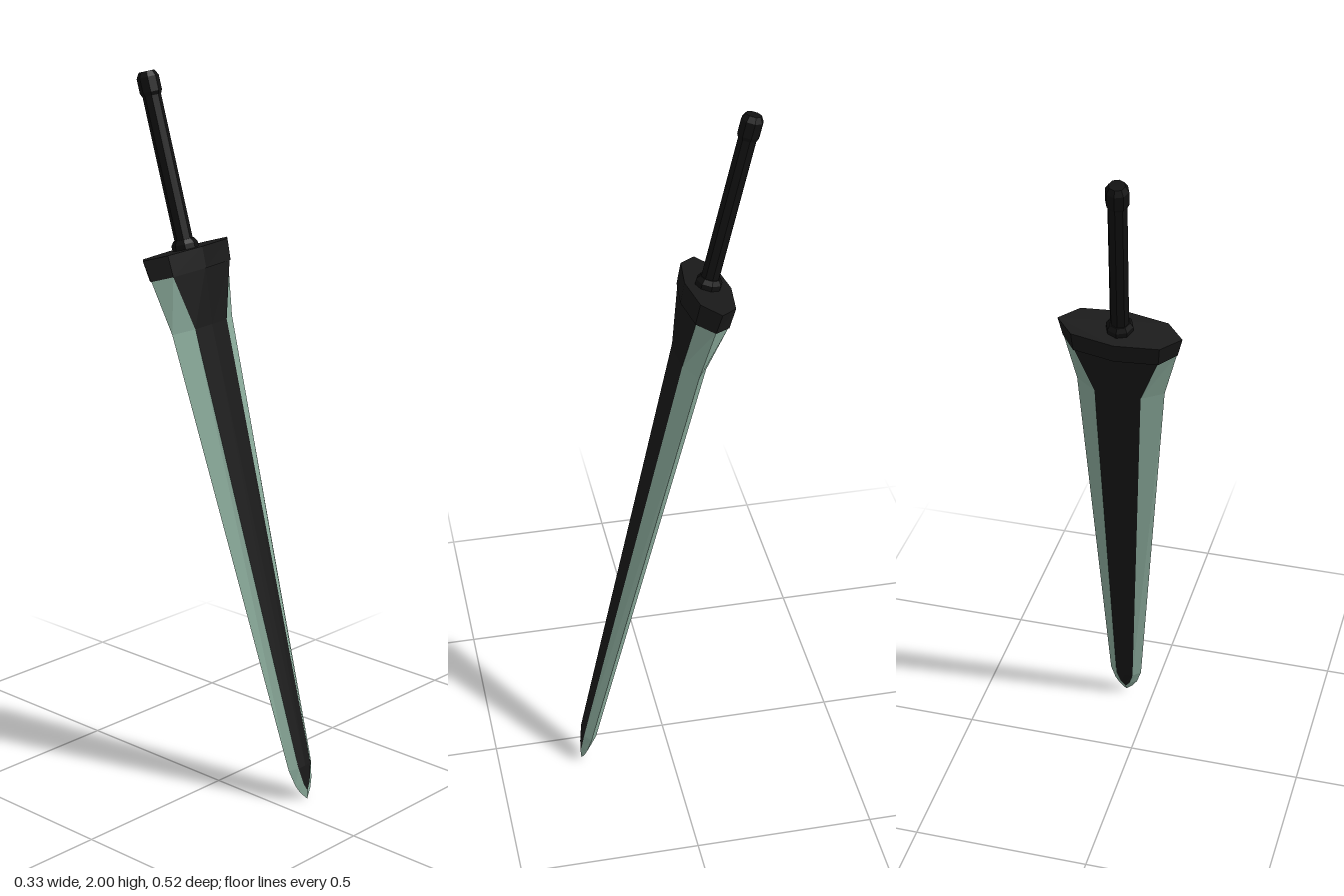
import * as THREE from 'three';

const steel = new THREE.MeshStandardMaterial({ color: 0x8fb0a0, flatShading: true });
const dark = new THREE.MeshStandardMaterial({ color: 0x191919, flatShading: true });
const leather = new THREE.MeshStandardMaterial({ color: 0x111111, flatShading: true });

// Eight-sided ring: edge half width w, panel half width s at depth h1, ridge depth h
const ring = ([t, w, s, h1, h]) => [
  [w, t, 0], [s, t, h1], [0, t, h], [-s, t, h1],
  [-w, t, 0], [-s, t, -h1], [0, t, -h], [s, t, -h1],
];

// Skins the chosen sides between consecutive sections, with optional end caps
function skin(name, sections, sides, material, caps = false) {
  const rings = sections.map(ring);
  const pos = [];
  for (let j = 0; j < rings.length - 1; j++) {
    for (const i of sides) {
      const k = (i + 1) % 8;
      const a = rings[j][i], b = rings[j][k], c = rings[j + 1][i], d = rings[j + 1][k];
      pos.push(...a, ...c, ...b, ...b, ...c, ...d);
    }
  }
  if (caps) {
    const bottom = rings[0], top = rings[rings.length - 1];
    for (let i = 1; i < 7; i++) {
      pos.push(...bottom[0], ...bottom[i], ...bottom[i + 1]);
      pos.push(...top[0], ...top[i + 1], ...top[i]);
    }
  }
  const geometry = new THREE.BufferGeometry();
  geometry.setAttribute('position', new THREE.Float32BufferAttribute(pos, 3));
  geometry.computeVertexNormals();
  const mesh = new THREE.Mesh(geometry, material);
  mesh.name = name;
  return mesh;
}

// Octagonal turned part from [radius, height] pairs
function turned(name, profile, material) {
  const points = profile.map(([r, y]) => new THREE.Vector2(r, y));
  const mesh = new THREE.Mesh(new THREE.LatheGeometry(points, 8), material);
  mesh.name = name;
  return mesh;
}

export function createModel() {
  const sword = new THREE.Group();
  sword.name = 'sword';

  // Blade, from the tip up to the flared shoulder
  const blade = [
    [0, 0, 0, 0, 0],
    [0.025, 0.021, 0, 0.008, 0.008],
    [0.05, 0.034, 0.013, 0.012, 0.013],
    [0.1, 0.047, 0.025, 0.018, 0.021],
    [1.363, 0.118, 0.062, 0.033, 0.037],
    [1.515, 0.15, 0.11, 0.044, 0.058],
  ];
  sword.add(skin('bladeEdges', blade, [0, 3, 4, 7], steel));
  sword.add(skin('bladeCore', blade.slice(1), [1, 2, 5, 6], dark));

  // Guard
  const guard = [
    [1.515, 0.152, 0.112, 0.046, 0.061],
    [1.574, 0.164, 0.116, 0.048, 0.064],
  ];
  sword.add(skin('guard', guard, [0, 1, 2, 3, 4, 5, 6, 7], dark, true));

  // Hilt
  sword.add(turned('collar', [[0, 1.57], [0.036, 1.57], [0.036, 1.588], [0.028, 1.6], [0, 1.6]], leather));
  sword.add(turned('grip', [[0, 1.59], [0.025, 1.59], [0.025, 2], [0, 2]], leather));
  sword.add(turned('pommel', [[0, 1.99], [0.025, 1.99], [0.03, 2], [0.03, 2.04], [0.021, 2.055], [0, 2.055]], leather));

  // Lean the whole sword: local y runs from tip to pommel, local x across the blade
  const up = new THREE.Vector3(-0.112, 1.98, -0.495).normalize();
  const across = new THREE.Vector3(0.325, 0.018, -0.003);
  across.addScaledVector(up, -across.dot(up)).normalize();
  const front = new THREE.Vector3().crossVectors(across, up);
  sword.quaternion.setFromRotationMatrix(new THREE.Matrix4().makeBasis(across, up, front));
  sword.position.set(0.085, 0.005, 0.26);

  const model = new THREE.Group();
  model.name = 'leaningSword';
  model.add(sword);
  return model;
}
